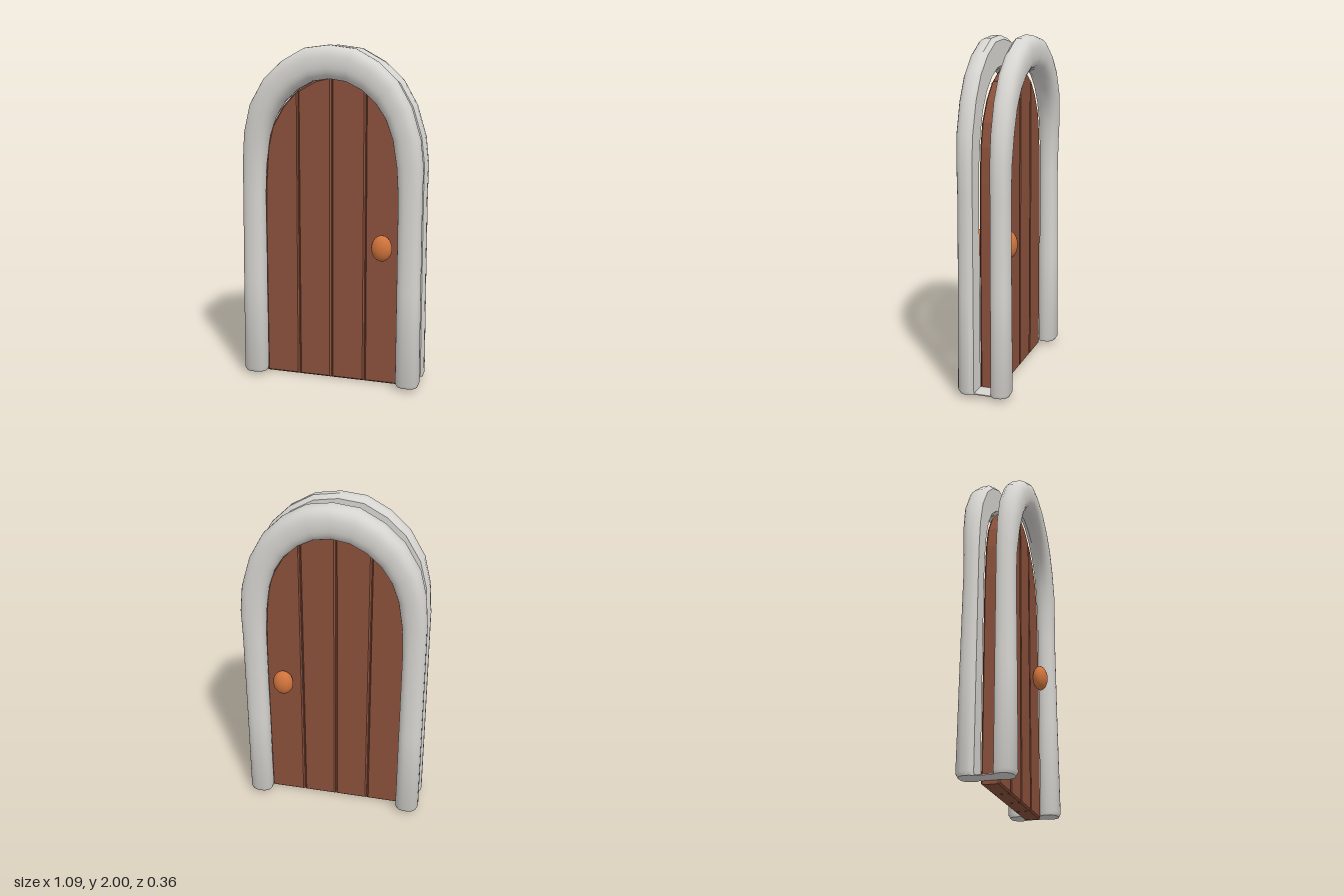
import * as THREE from 'three';
import { toCreasedNormals } from 'three/addons/utils/BufferGeometryUtils.js';

const stone = new THREE.MeshStandardMaterial({ color: 0xd6d4d0 });
stone.name = 'pale stone';
const wood = new THREE.MeshStandardMaterial({ color: 0x8a503b });
wood.name = 'brown wood';
const copper = new THREE.MeshStandardMaterial({ color: 0xd0743c });
copper.name = 'copper';

// Stations along the arch: inner x, inner y, outer x, outer y, depth
const stations = [
  [-0.41, 0.02, -0.54, 0.02, 0.095],
  [-0.405, 0.04, -0.548, 0.04, 0.107],
  [-0.405, 0.6, -0.543, 0.6, 0.103],
  [-0.405, 1.15, -0.537, 1.15, 0.098],
  [-0.395, 1.32, -0.535, 1.32, 0.102],
  [-0.37, 1.48, -0.52, 1.5, 0.113],
  [-0.33, 1.59, -0.48, 1.66, 0.122],
  [-0.27, 1.68, -0.39, 1.81, 0.126],
  [-0.19, 1.75, -0.28, 1.91, 0.128],
  [-0.1, 1.795, -0.145, 1.983, 0.128],
  [0, 1.81, 0, 2, 0.121],
  [0.1, 1.795, 0.145, 1.98, 0.116],
  [0.19, 1.75, 0.28, 1.905, 0.113],
  [0.27, 1.68, 0.39, 1.8, 0.11],
  [0.33, 1.59, 0.47, 1.66, 0.107],
  [0.37, 1.48, 0.525, 1.48, 0.105],
  [0.395, 1.32, 0.543, 1.32, 0.1],
  [0.405, 1.15, 0.54, 1.15, 0.097],
  [0.405, 0.6, 0.542, 0.6, 0.1],
  [0.405, 0.04, 0.545, 0.04, 0.106],
  [0.41, 0.02, 0.538, 0.02, 0.095],
];

// Cross-section: rounded outside, flat towards the door gap
const section = [];
for (let k = 0; k <= 12; k++) {
  const a = (k / 12) * Math.PI;
  const c = Math.cos(a);
  section.push([0.5 + 0.5 * Math.sign(c) * Math.abs(c) ** 0.8, 0.42 + 0.58 * Math.abs(Math.sin(a)) ** 0.85]);
}
section.push([0, 0.2], [0.12, 0], [0.88, 0], [1, 0.2]);

function archGeometry(side) {
  const pos = [], idx = [];
  const n = section.length, last = stations.length - 1;
  for (const [xi, yi, xo, yo, depth] of stations) {
    for (const [u, v] of section) {
      pos.push(xi + (xo - xi) * u, yi + (yo - yi) * u, side * (0.05 + depth * v));
    }
  }
  const tri = (a, b, c) => (side > 0 ? idx.push(a, b, c) : idx.push(a, c, b));
  for (let j = 0; j < last; j++) {
    for (let k = 0; k < n; k++) {
      const a = j * n + k, b = j * n + ((k + 1) % n);
      tri(a, b, b + n);
      tri(a, b + n, a + n);
    }
  }
  // Flat feet
  for (let k = 1; k < n - 1; k++) {
    tri(0, k + 1, k);
    tri(last * n, last * n + k, last * n + k + 1);
  }
  const g = new THREE.BufferGeometry();
  g.setAttribute('position', new THREE.Float32BufferAttribute(pos, 3));
  g.setIndex(idx);
  return toCreasedNormals(g, 0.75);
}

// Door outline: half width and height of the arched top
const outline = [[0, 1.82], [0.1, 1.8], [0.21, 1.74], [0.3, 1.65], [0.37, 1.53], [0.4, 1.4], [0.415, 1.2], [0.42, 1.0]];

function topAt(x) {
  const a = Math.min(Math.abs(x), 0.42);
  const i = Math.max(1, outline.findIndex((p) => p[0] >= a));
  const [x0, y0] = outline[i - 1], [x1, y1] = outline[i];
  return y0 + ((y1 - y0) * (a - x0)) / (x1 - x0);
}

// Slice of the door between two x positions
function slab(x0, x1, halfDepth, bevel) {
  const tops = [...outline.map((p) => p[0]), ...outline.slice(1).map((p) => -p[0])]
    .filter((x) => x > x0 + 0.004 && x < x1 - 0.004)
    .sort((a, b) => b - a);
  const points = [[x0, 0], [x1, 0], ...[x1, ...tops, x0].map((x) => [x, topAt(x)])];
  const shape = new THREE.Shape(points.map(([x, y]) => new THREE.Vector2(x, y)));
  const depth = 2 * (halfDepth - bevel);
  const g = new THREE.ExtrudeGeometry(shape, {
    depth, bevelEnabled: bevel > 0, bevelThickness: bevel, bevelSize: bevel, bevelOffset: -bevel, bevelSegments: 1,
  });
  return g.translate(0, 0, -depth / 2);
}

export function createModel() {
  const model = new THREE.Group();
  model.name = 'archedDoor';
  const add = (name, geometry, material) => {
    const mesh = new THREE.Mesh(geometry, material);
    mesh.name = name;
    model.add(mesh);
    return mesh;
  };

  // Stone arches on both faces, joined by thin plates at the feet
  add('frontArch', archGeometry(1), stone);
  add('backArch', archGeometry(-1), stone);
  for (const s of [-1, 1]) {
    const plate = add(s > 0 ? 'leftFootPlate' : 'rightFootPlate', new THREE.BoxGeometry(0.105, 0.006, 0.1), stone);
    plate.position.set(s * 0.4725, 0.023, 0);
  }

  // Planks over a recessed core that closes the grooves
  const seams = [-0.42, -0.21, -0.005, 0.2, 0.42];
  for (let i = 0; i < 4; i++) {
    const a = seams[i] + (i > 0 ? 0.002 : 0);
    const b = seams[i + 1] - (i < 3 ? 0.002 : 0);
    add('plank' + (i + 1), slab(a, b, 0.05, 0.009), wood);
  }
  const core = add('doorCore', slab(-0.42, 0.42, 0.036, 0), wood);
  core.scale.set(0.97, 0.985, 1);
  core.position.y = 0.006;

  // Oval knobs on both faces
  for (const s of [-1, 1]) {
    const knob = add(s > 0 ? 'frontKnob' : 'backKnob', new THREE.SphereGeometry(1, 14, 10), copper);
    knob.scale.set(0.062, 0.077, 0.045);
    knob.position.set(0.31, 0.845, s * 0.088);
  }
  return model;
}
